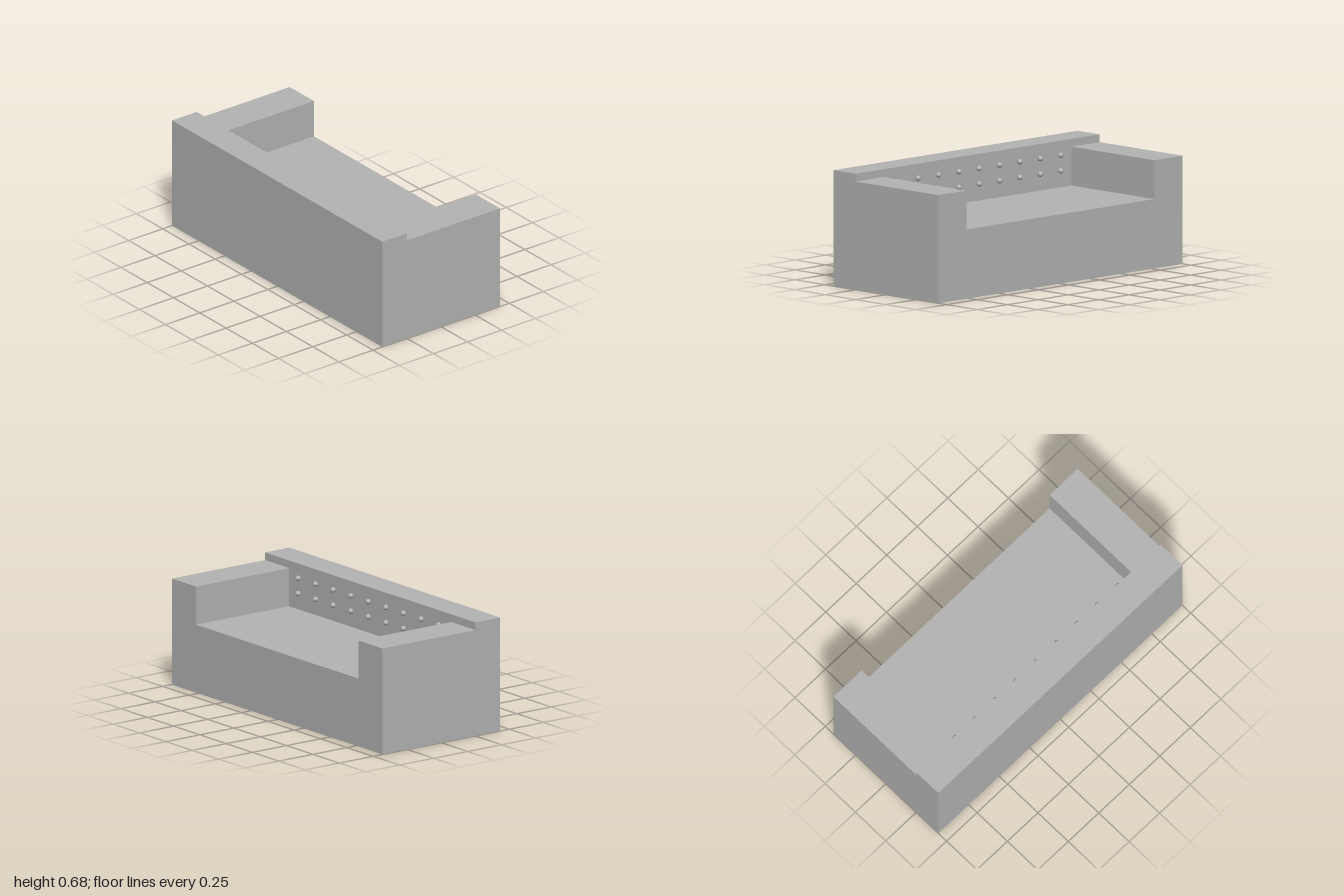
import * as THREE from 'three';

const grey = new THREE.MeshStandardMaterial({ color: 0xb3b3b3 });
grey.name = 'plain grey';

const HALF_WIDTH = 1, HALF_DEPTH = 0.432, BACK_FACE = 0.251;
const SEAT_TOP = 0.408, ARM_TOP = 0.637, BACK_TOP = 0.683, ARM_INNER = 0.77;

function part(name, geometry, x = 0, y = 0, z = 0) {
  const mesh = new THREE.Mesh(geometry, grey);
  mesh.name = name;
  mesh.position.set(x, y, z);
  return mesh;
}

export function createModel() {
  const sofa = new THREE.Group();
  sofa.name = 'sofa';

  // Seat and both arms: one U-shaped profile run along the depth
  const profile = new THREE.Shape([
    [-HALF_WIDTH, 0], [HALF_WIDTH, 0], [HALF_WIDTH, ARM_TOP], [ARM_INNER, ARM_TOP],
    [ARM_INNER, SEAT_TOP], [-ARM_INNER, SEAT_TOP], [-ARM_INNER, ARM_TOP], [-HALF_WIDTH, ARM_TOP],
  ].map(([x, y]) => new THREE.Vector2(x, y)));
  const seat = new THREE.ExtrudeGeometry(profile, { depth: HALF_DEPTH + BACK_FACE, bevelEnabled: false });
  sofa.add(part('seatAndArms', seat, 0, 0, -HALF_DEPTH));

  // Backrest, slightly taller than the arms
  const thickness = HALF_DEPTH - BACK_FACE;
  const back = new THREE.BoxGeometry(2 * HALF_WIDTH, BACK_TOP, thickness);
  sofa.add(part('backrest', back, 0, BACK_TOP / 2, BACK_FACE + thickness / 2));

  // Two rows of nine round buttons on the inside of the backrest
  const buttons = new THREE.Group();
  buttons.name = 'buttons';
  const ball = new THREE.SphereGeometry(0.016, 24, 16);
  for (const y of [0.508, 0.6]) {
    for (let i = -4; i <= 4; i++) buttons.add(part('button', ball, i / 6, y, 0.237));
  }
  sofa.add(buttons);

  return sofa;
}
